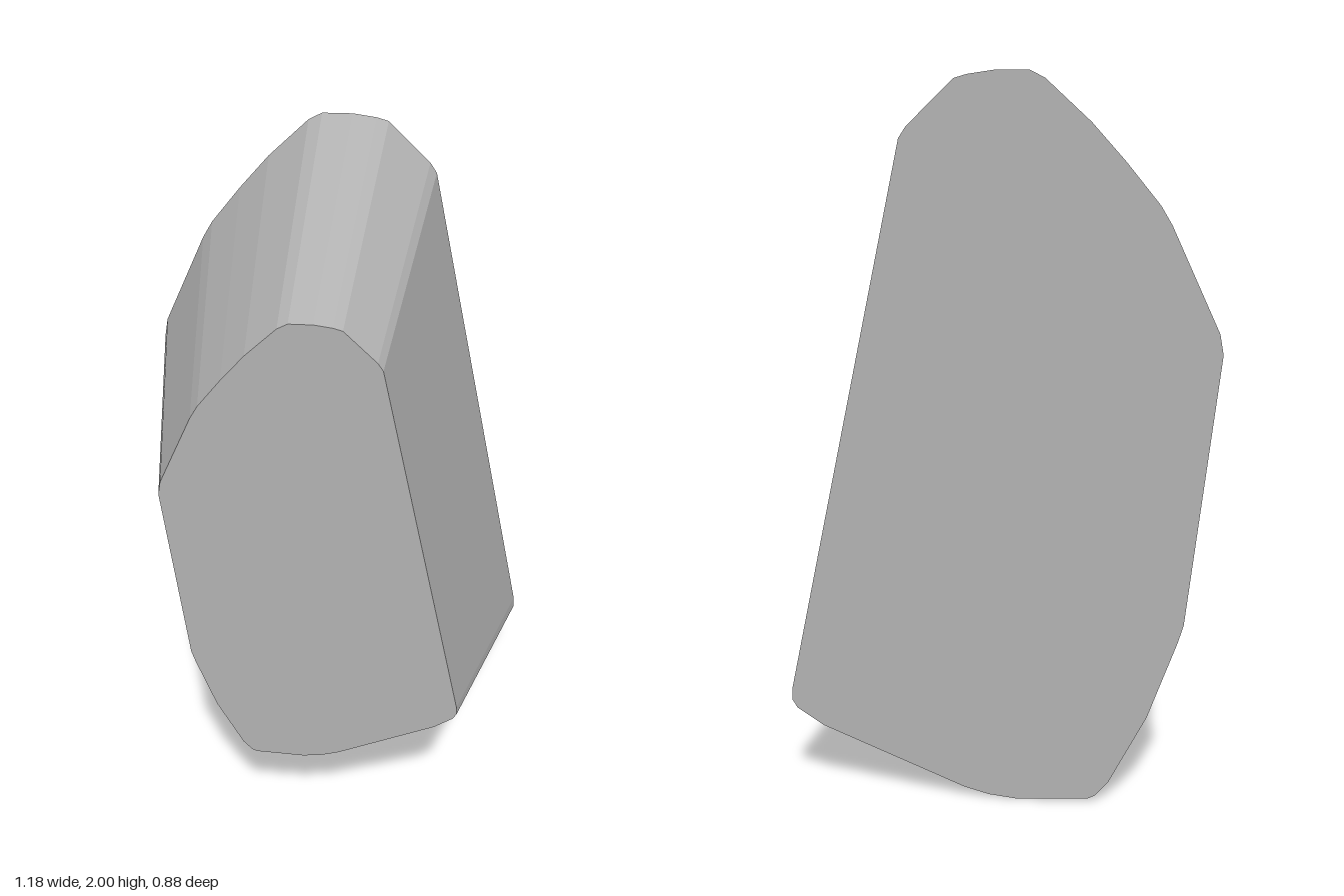
import * as THREE from 'three';

// Back outline, clockwise from the top
const OUTLINE = [
  [-0.08, 2.0], [0.01, 2.0], [0.08, 1.99], [0.115, 1.98], [0.24, 1.86], [0.26, 1.83],
  [0.588, 0.31], [0.59, 0.275], [0.575, 0.25], [0.5, 0.2], [0.1, 0.03], [0.03, 0.01],
  [-0.05, 0], [-0.25, 0.01], [-0.27, 0.02], [-0.305, 0.06], [-0.41, 0.26], [-0.49, 0.48],
  [-0.505, 0.53], [-0.59, 1.275], [-0.58, 1.33], [-0.45, 1.61], [-0.42, 1.66],
  [-0.33, 1.77], [-0.24, 1.87], [-0.12, 1.98],
];
const DEPTH = 0.88;
const TAPER = 0.7;                              // front size relative to back
const CENTRE = new THREE.Vector2(-0.09, 1.067); // point the taper shrinks towards

export function createModel() {
  const group = new THREE.Group();
  group.name = 'taperedStone';

  const stoneGrey = new THREE.MeshStandardMaterial({ color: 0xb2b2b2 });
  stoneGrey.name = 'stoneGrey';

  // Straight prism whose front cap is shrunk to form sloping sides
  const shape = new THREE.Shape(OUTLINE.map(([x, y]) => new THREE.Vector2(x, y)));
  const geometry = new THREE.ExtrudeGeometry(shape, { depth: DEPTH, bevelEnabled: false });
  geometry.translate(0, 0, -DEPTH / 2);
  const p = geometry.attributes.position;
  for (let i = 0; i < p.count; i++) {
    if (p.getZ(i) < 0) continue;
    p.setXY(
      i,
      CENTRE.x + (p.getX(i) - CENTRE.x) * TAPER,
      CENTRE.y + (p.getY(i) - CENTRE.y) * TAPER,
    );
  }
  geometry.computeVertexNormals();

  const stone = new THREE.Mesh(geometry, stoneGrey);
  stone.name = 'stoneBlock';
  group.add(stone);
  return group;
}
